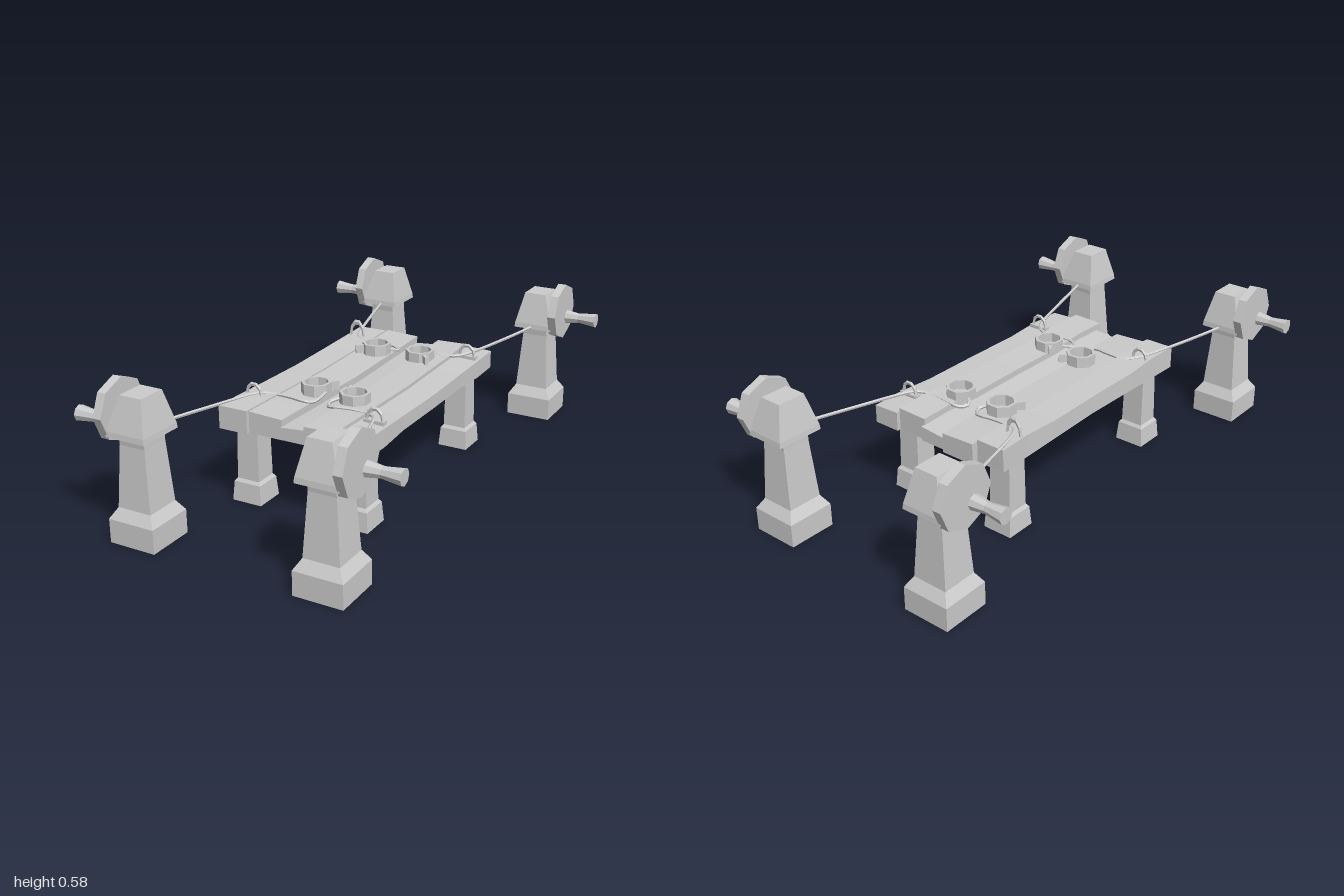
import * as THREE from 'three';

const material = new THREE.MeshStandardMaterial({ color: 0xcccccc, flatShading: true });

function addMesh(parent, name, geometry) {
  const mesh = new THREE.Mesh(geometry, material);
  mesh.name = name;
  parent.add(mesh);
  return mesh;
}

// Skins a row of four-cornered rings and caps both ends
function loft(rings) {
  const pos = [];
  const tri = (...pts) => pts.forEach((p) => pos.push(...p));
  const quad = (a, b, c, d) => { tri(a, b, c); tri(a, c, d); };
  for (let i = 0; i < rings.length - 1; i++) {
    for (let j = 0; j < 4; j++) {
      const k = (j + 1) % 4;
      quad(rings[i][j], rings[i][k], rings[i + 1][k], rings[i + 1][j]);
    }
  }
  const [a, b, c, d] = rings[0];
  quad(d, c, b, a);
  quad(...rings[rings.length - 1]);
  const geometry = new THREE.BufferGeometry();
  geometry.setAttribute('position', new THREE.Float32BufferAttribute(pos, 3));
  geometry.computeVertexNormals();
  return geometry;
}

// Upright block from [y, half width, half depth, x shift]
const pillar = (sections) => loft(sections.map(([y, w, d, s = 0]) =>
  [[s - w, y, d], [s + w, y, d], [s + w, y, -d], [s - w, y, -d]]));

// Post with tapered head, winch wheel and handle
function createPost(sx, sz) {
  const post = new THREE.Group();
  post.name = 'winchPost';
  post.position.set(sx * 0.367, 0, sz * 0.882);
  addMesh(post, 'postShaft', pillar([
    [0, 0.093, 0.093], [0.09, 0.093, 0.093], [0.13, 0.068, 0.068],
    [0.36, 0.052, 0.055], [0.405, 0.05, 0.06],
  ]));
  addMesh(post, 'postHead', pillar([
    [0.395, 0.08, 0.091], [0.415, 0.078, 0.089], [0.54, 0.045, 0.055, -sx * 0.007],
  ]));

  const wheel = addMesh(post, 'winchWheel', new THREE.CylinderGeometry(0.116, 0.116, 0.034, 8));
  wheel.rotation.z = -sx * Math.PI / 2;
  wheel.position.set(sx * 0.089, 0.465, 0);

  const profile = [[0, 0], [0.029, 0], [0.021, 0.055], [0.023, 0.075], [0.03, 0.129], [0, 0.129]];
  const handle = addMesh(post, 'winchHandle',
    new THREE.LatheGeometry(profile.map(([r, y]) => new THREE.Vector2(r, y)), 8));
  handle.rotation.z = -sx * Math.PI / 2;
  handle.position.set(sx * 0.105, 0.433, -sx * 0.036);
  return post;
}

// Plank with a slight sag between its two ends
function createPlank({ x0, x1, z0, z1, bottom, top, skew = 0 }) {
  const stations = [[0, 0], [0.13, 0], [0.27, 0.8], [0.5, 1], [0.73, 0.8], [0.87, 0], [1, 0]];
  return loft(stations.map(([t, sag], i) => {
    const z = THREE.MathUtils.lerp(z0, z1, t);
    const shift = i % 2 ? 0.002 : -0.002;
    const y0 = bottom + 0.009 * sag;
    const y1 = top - 0.008 * sag;
    return [[x0 + shift, y0, z], [x1 + shift, y0, z], [x1 + shift, y1 + skew, z], [x0 + shift, y1, z]];
  }));
}

// Rope from the post, through the eyelet, to the cuff
function createRope(sx, sz, cuff) {
  const path = [
    [0.365, 0.402, 0.82], [0.31, 0.394, 0.6], [0.252, 0.388, 0.4], [0.235, 0.386, 0.37],
    [0.205, 0.383, 0.348], [0.13, 0.384, 0.345], [0.06, 0.382, 0.352], [0.035, 0.376, 0.338],
    [0.025, 0.38, 0.31],
  ].map(([x, y, z]) => new THREE.Vector3(sx * x, y, sz * z));
  path.push(new THREE.Vector3(cuff.x - sx * 0.05, 0.389, cuff.z + sz * 0.018));
  const curve = new THREE.CatmullRomCurve3(path, false, 'centripetal');
  return new THREE.TubeGeometry(curve, 40, 0.0065, 5);
}

// Eight-sided shackle ring with a small hinge tab
function createCuff({ x, z, angle }) {
  const cuff = new THREE.Group();
  cuff.name = 'cuff';
  cuff.position.set(x, 0.374, z);
  const profile = [[0.058, 0], [0.058, 0.043], [0.046, 0.043], [0.046, 0], [0.058, 0]];
  const ring = addMesh(cuff, 'cuffRing',
    new THREE.LatheGeometry(profile.map(([r, y]) => new THREE.Vector2(r, y)), 8));
  ring.rotation.y = Math.PI / 8;
  const pivot = new THREE.Group();
  pivot.name = 'cuffHinge';
  pivot.rotation.y = angle;
  cuff.add(pivot);
  addMesh(pivot, 'cuffTab', new THREE.BoxGeometry(0.034, 0.032, 0.012)).position.set(0.069, 0.021, 0);
  return cuff;
}

export function createModel() {
  const model = new THREE.Group();
  model.name = 'ropeWinchTable';

  // Table top
  const planks = [
    { x0: -0.293, x1: -0.175, z0: -0.497, z1: 0.545, bottom: 0.3, top: 0.388 },
    { x0: -0.177, x1: -0.038, z0: -0.524, z1: 0.53, bottom: 0.3, top: 0.382, skew: -0.006 },
    { x0: -0.04, x1: 0.072, z0: -0.515, z1: 0.537, bottom: 0.304, top: 0.35, skew: 0.01 },
    { x0: 0.07, x1: 0.194, z0: -0.5, z1: 0.56, bottom: 0.3, top: 0.384, skew: 0.003 },
    { x0: 0.192, x1: 0.3, z0: -0.516, z1: 0.549, bottom: 0.3, top: 0.374, skew: -0.004 },
  ];
  planks.forEach((p) => addMesh(model, 'plank', createPlank(p)));

  for (const sx of [-1, 1]) {
    for (const sz of [-1, 1]) {
      model.add(createPost(sx, sz));

      // Table leg
      const leg = addMesh(model, 'tableLeg', pillar([
        [0, 0.061, 0.061], [0.075, 0.055, 0.055], [0.087, 0.046, 0.046], [0.31, 0.043, 0.041],
      ]));
      leg.position.set(sx * 0.222, 0, sz > 0 ? 0.437 : -0.389);

      // Eyelet arch on its plate
      const tall = sx < 0 && sz < 0;
      const eyelet = new THREE.Group();
      eyelet.name = 'eyelet';
      eyelet.position.set(sx * 0.25, 0.376, sz * 0.385);
      model.add(eyelet);
      addMesh(eyelet, 'eyeletPlate', new THREE.BoxGeometry(0.08, 0.016, 0.024));
      const arch = addMesh(eyelet, 'eyeletArch', new THREE.TorusGeometry(0.032, 0.006, 5, 5, Math.PI));
      arch.position.y = 0.006;
      arch.scale.y = tall ? 2 : 1.35;
    }
  }

  // Cuffs and the ropes that hold them
  const cuffs = [
    { sx: -1, sz: -1, x: -0.095, z: -0.267, angle: -2.4 },
    { sx: 1, sz: -1, x: 0.097, z: -0.272, angle: -0.8 },
    { sx: -1, sz: 1, x: -0.076, z: 0.234, angle: 0.8 },
    { sx: 1, sz: 1, x: 0.1, z: 0.258, angle: 2.3 },
  ];
  for (const cuff of cuffs) {
    model.add(createCuff(cuff));
    addMesh(model, 'rope', createRope(cuff.sx, cuff.sz, cuff));
  }
  return model;
}
